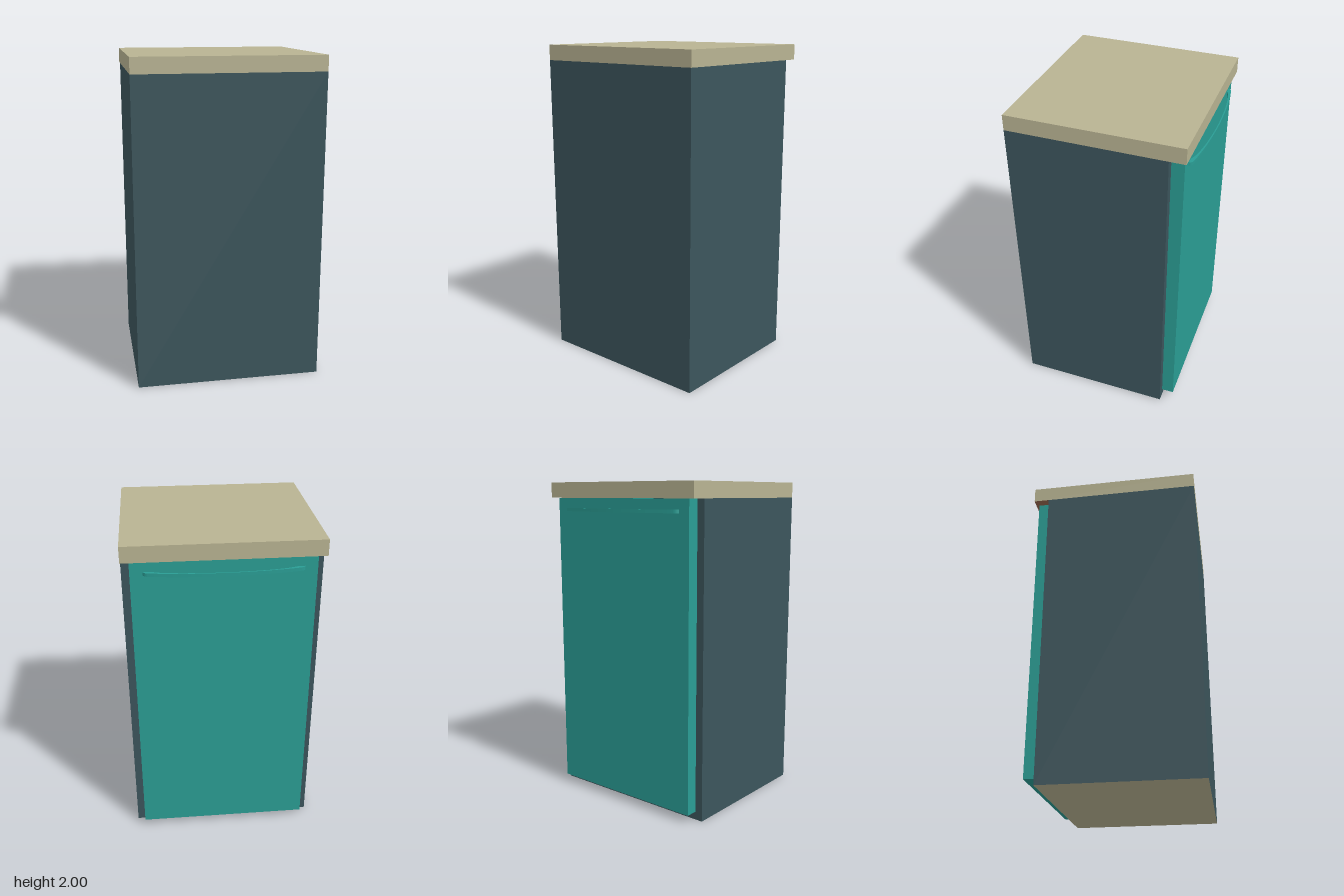
import * as THREE from 'three';

const mat = (name, color) => {
  const m = new THREE.MeshStandardMaterial({ color });
  m.name = name;
  return m;
};

export function createModel() {
  const group = new THREE.Group();
  group.name = 'cabinet';
  const slate = mat('slate', 0x3c555c);
  const teal = mat('teal', 0x2a9d94);
  const beige = mat('beige', 0xb8b392);
  const brown = mat('brown', 0x9a6a50);

  const add = (name, geometry, material) => {
    const mesh = new THREE.Mesh(geometry, material);
    mesh.name = name;
    group.add(mesh);
    return mesh;
  };
  // Box given by its extents
  const box = (name, material, [x0, x1], [y0, y1], [z0, z1]) =>
    add(name, new THREE.BoxGeometry(x1 - x0, y1 - y0, z1 - z0), material)
      .position.set((x0 + x1) / 2, (y0 + y1) / 2, (z0 + z1) / 2);

  const wide = [-0.57, 0.57];

  // Carcass, with a beige face underneath (box side order: +x -x +y -y +z -z)
  box('body', [slate, slate, slate, beige, slate, slate], wide, [0, 1.905], [-0.41, 0.54]);

  // Worktop overhanging the door, with a brown underside
  box('worktop', [beige, beige, beige, brown, beige, beige], wide, [1.905, 2], [-0.505, 0.54]);

  // Door panel
  box('door', teal, [-0.522, 0.522], [0.05, 1.904], [-0.485, -0.41]);

  // Bowed handle: a thin crescent, x along the door and y outwards from it
  const outer = [[0.45, 0], [0.442, 0.012], [0.42, 0.022], [0.34, 0.034], [0.2, 0.048], [0, 0.055]];
  const inner = [[0, 0.048], [0.2, 0.04], [0.34, 0.022], [0.41, 0]];
  const mirrored = (pts) => [...pts, ...pts.slice(0, -1).reverse().map(([x, y]) => [-x, y])];
  const curve = (pts) =>
    new THREE.SplineCurve(pts.map(([x, y]) => new THREE.Vector2(x, y))).getPoints(32);
  const outline = [
    ...curve(mirrored(outer)),
    ...curve(mirrored([...inner].reverse())).reverse(),
  ];
  const handle = add('handle', new THREE.ExtrudeGeometry(new THREE.Shape(outline),
    { depth: 0.02, bevelEnabled: false }), teal);
  // Lay the outline flat so it bows towards -z
  handle.rotation.x = -Math.PI / 2;
  handle.position.set(0, 1.823, -0.485);

  return group;
}
